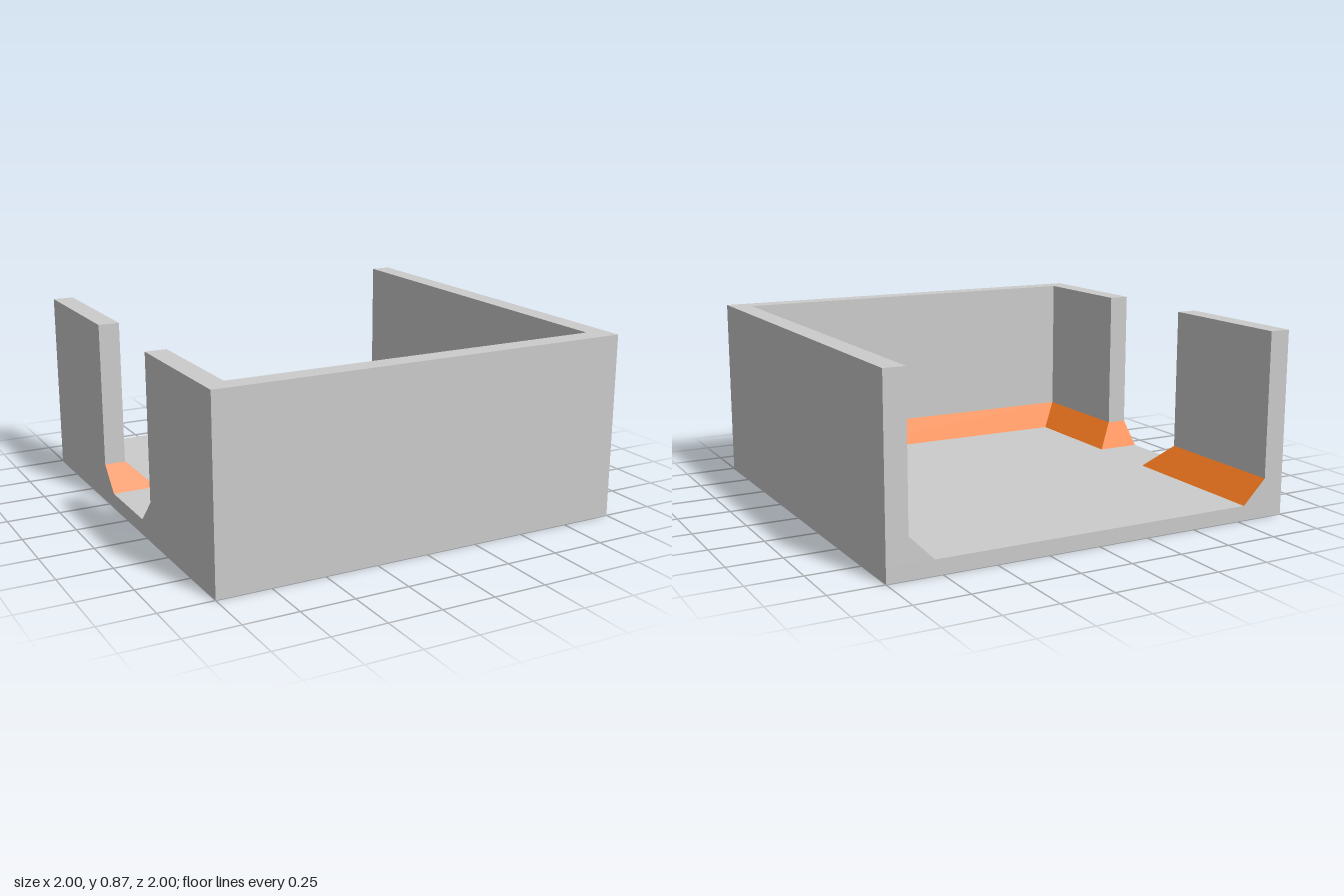
import * as THREE from 'three';

const FLOOR = 0.07, FILLET = 0.185, HEIGHT = 0.87;
const grey = new THREE.MeshStandardMaterial({ color: 0xcccccc, flatShading: true });
const orange = new THREE.MeshStandardMaterial({ color: 0xf47920, flatShading: true });

// Flat-sided mesh from a list of four-cornered faces
function quadMesh(quads, material, name) {
  const points = quads.flatMap(([a, b, c, d]) => [a, b, c, a, c, d]);
  const geometry = new THREE.BufferGeometry().setFromPoints(points);
  geometry.computeVertexNormals();
  const mesh = new THREE.Mesh(geometry, material);
  mesh.name = name;
  return mesh;
}

// Wall on a wider foot: both outlines are [x, z] loops with matching corners
function wall(name, outline, foot) {
  const group = new THREE.Group();
  group.name = name;

  // Upright part
  const shape = new THREE.Shape(outline.map(([x, z]) => new THREE.Vector2(x, -z)));
  const upright = new THREE.ExtrudeGeometry(shape, { depth: HEIGHT - FILLET, bevelEnabled: false });
  upright.rotateX(-Math.PI / 2).translate(0, FILLET, 0);
  const upper = new THREE.Mesh(upright, grey);
  upper.name = name + 'Upright';

  // Foot: sloping faces are coloured, vertical ones stay grey
  const slopes = [], sides = [];
  const at = ([x, z], y) => new THREE.Vector3(x, y, z);
  foot.forEach((p, i) => {
    const j = (i + 1) % foot.length;
    const quad = [at(p, FLOOR), at(foot[j], FLOOR), at(outline[j], FILLET), at(outline[i], FILLET)];
    const normal = new THREE.Triangle(quad[0], quad[1], quad[2]).getNormal(new THREE.Vector3());
    (normal.y > 0.01 ? slopes : sides).push(quad);
  });
  group.add(upper, quadMesh(sides, grey, name + 'Foot'), quadMesh(slopes, orange, name + 'Chamfer'));
  return group;
}

export function createModel() {
  const model = new THREE.Group();
  model.name = 'openRoom';

  // Floor slab
  const floor = new THREE.Mesh(new THREE.BoxGeometry(2, FLOOR, 2), grey);
  floor.position.y = FLOOR / 2;
  floor.name = 'floor';

  // Long wall around the front, from the doorway to the open back
  const t = 0.9, f = 0.785, door = 0.3, doorFoot = 0.19;
  const around = (inner, jamb) => [
    [-1, jamb], [-1, 1], [1, 1], [1, -1], [inner, -1], [inner, inner], [-inner, inner], [-inner, jamb],
  ];
  // Short wall between the doorway and the open back
  const short = (inner, jamb) => [[-1, -1], [-1, -jamb], [-inner, -jamb], [-inner, -1]];

  model.add(
    floor,
    wall('mainWall', around(t, door), around(f, doorFoot)),
    wall('shortWall', short(t, door), short(f, doorFoot)),
  );
  return model;
}
